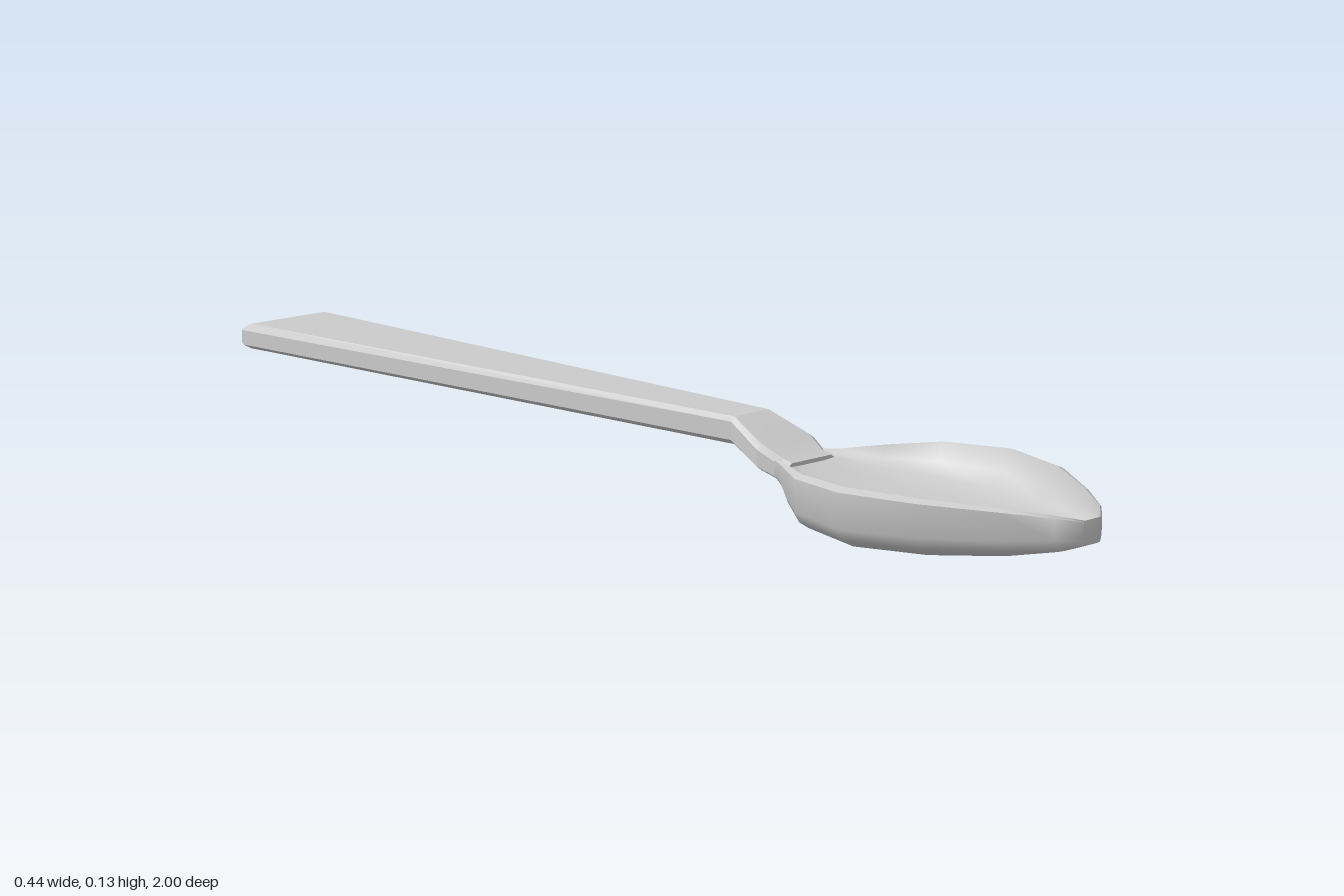
import * as THREE from 'three';
import { toCreasedNormals } from 'three/addons/utils/BufferGeometryUtils.js';

const material = new THREE.MeshStandardMaterial({ color: 0xcccccc, side: THREE.DoubleSide });

// Mirrors a +x half outline (bottom centre to top centre) into a closed ring
function ring(half, z) {
  const left = half.slice(1, -1).reverse().map(([x, y]) => [-x, y]);
  return [...half, ...left].map(([x, y]) => [x, y, z]);
}

// Skins rings ordered along +z and strips across both ends
function loft(rings, crease) {
  const n = rings[0].length;
  const index = [];
  for (let i = 0; i < rings.length - 1; i++) {
    for (let j = 0; j < n; j++) {
      const a = i * n + j, b = i * n + (j + 1) % n;
      index.push(a, b, b + n, a, b + n, a + n);
    }
  }
  const last = (rings.length - 1) * n;
  for (let j = 0; j < n / 2; j++) {
    const a = j, b = j + 1, c = (n - j - 1) % n, d = (n - j) % n;
    index.push(a, c, b, a, d, c);
    index.push(last + a, last + b, last + c, last + a, last + c, last + d);
  }
  const geometry = new THREE.BufferGeometry();
  geometry.setAttribute('position', new THREE.Float32BufferAttribute(rings.flat(2), 3));
  geometry.setIndex(index);
  return toCreasedNormals(geometry, crease);
}

// Bar section with bevelled edges
function barRing([z, w, bottom, top, bevelX, bevelY]) {
  return ring([
    [0, bottom], [w - bevelX, bottom], [w, bottom + bevelY],
    [w, top - bevelY], [w - bevelX, top], [0, top],
  ], z);
}

// Bowl section: flat underside, steep wall, thin rim and sunken floor
function bowlRing([z, w, bottom, top, floor]) {
  const h = top - bottom;
  return ring([
    [0, bottom], [w * 0.5, bottom], [w * 0.82, bottom + h * 0.02],
    [w * 0.94, bottom + h * 0.16], [w, bottom + h * 0.36],
    [w, top - h * 0.06], [w * 0.92, top],
    [w * 0.85, floor + (top - floor) * 0.45], [w * 0.72, floor + (top - floor) * 0.1],
    [w * 0.4, floor], [0, floor],
  ], z);
}

export function createModel() {
  const group = new THREE.Group();
  const add = (name, geometry) => {
    const mesh = new THREE.Mesh(geometry, material);
    mesh.name = name;
    group.add(mesh);
  };

  // Flared flat handle: z, half width, bottom, top, bevel
  add('handle', loft([
    [-1, 0.102, 0.09, 0.128, 0.015, 0.006],
    [-0.985, 0.111, 0.085, 0.133, 0.02, 0.01],
    [0.26, 0.05, 0.085, 0.133, 0.008, 0.008],
  ].map(barRing), 0.3));

  // Neck stepping down to the bowl
  add('neck', loft([
    [0.26, 0.05, 0.085, 0.133, 0.008, 0.008],
    [0.34, 0.07, 0.055, 0.1, 0.012, 0.008],
    [0.38, 0.06, 0.04, 0.08, 0.012, 0.008],
    [0.4, 0.06, 0.036, 0.075, 0.012, 0.008],
  ].map(barRing), 0.3));

  // Bowl: z, half width, bottom, rim, floor
  add('bowl', loft([
    [0.37, 0.06, 0.042, 0.08, 0.078],
    [0.4, 0.078, 0.034, 0.082, 0.068],
    [0.46, 0.128, 0.018, 0.091, 0.053],
    [0.54, 0.19, 0.005, 0.1, 0.042],
    [0.66, 0.22, 0, 0.103, 0.036],
    [0.79, 0.183, 0.004, 0.1, 0.038],
    [0.9, 0.112, 0.012, 0.092, 0.045],
    [0.97, 0.058, 0.024, 0.084, 0.054],
    [1, 0.022, 0.035, 0.076, 0.066],
  ].map(bowlRing), 0.8));

  return group;
}
